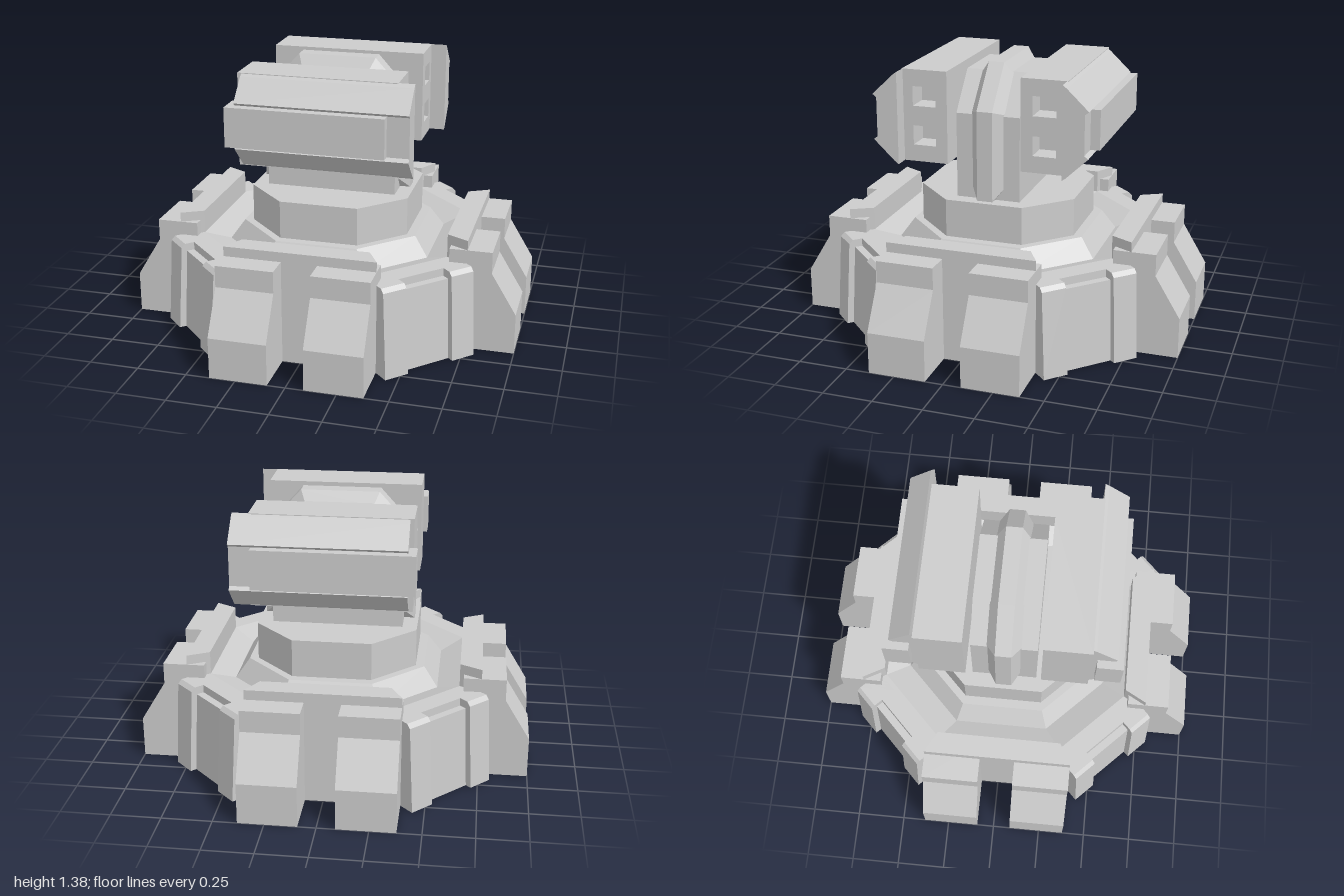
import * as THREE from 'three';

const material = new THREE.MeshStandardMaterial({ color: 0xcccccc, flatShading: true });

function add(parent, geometry, name) {
  const mesh = new THREE.Mesh(geometry, material);
  mesh.name = name;
  parent.add(mesh);
  return mesh;
}

const shapeOf = (points) => new THREE.Shape(points.map(([x, y]) => new THREE.Vector2(x, y)));

// Profile in (z, y), swept along x from x0 to x1; holes are profiles too
function prism(points, x0, x1, holes = []) {
  const shape = shapeOf(points);
  holes.forEach((h) => shape.holes.push(new THREE.Path(h.map(([x, y]) => new THREE.Vector2(x, y)))));
  return new THREE.ExtrudeGeometry(shape, { depth: x1 - x0, bevelEnabled: false })
    .rotateY(-Math.PI / 2).translate(x1, 0, 0);
}

const rect = (z0, z1, y0, y1) => [[z0, y0], [z1, y0], [z1, y1], [z0, y1]];

// Stack of octagons: [apothem, half length of the straight side, y]
function octagonLoft(levels) {
  const rings = levels.map(([a, h, y]) =>
    [[a, h], [a, -h], [h, -a], [-h, -a], [-a, -h], [-a, h], [-h, a], [h, a]].map(([x, z]) => [x, y, z]));
  const pos = [];
  for (let k = 0; k < rings.length - 1; k++) {
    for (let i = 0; i < 8; i++) {
      const j = (i + 1) % 8, lo = rings[k], hi = rings[k + 1];
      pos.push(...lo[i], ...lo[j], ...hi[j], ...lo[i], ...hi[j], ...hi[i]);
    }
  }
  const g = new THREE.BufferGeometry();
  g.setAttribute('position', new THREE.Float32BufferAttribute(pos, 3));
  g.computeVertexNormals();
  return g;
}

// Four buttressed sides and four armoured corners
function createBase() {
  const base = new THREE.Group();
  base.name = 'base';
  add(base, octagonLoft([
    [0, 0, 0], [0.75, 0.37, 0], [0.75, 0.36, 0.46], [0.64, 0.32, 0.46],
    [0.525, 0.24, 0.41], [0.455, 0.21, 0.51], [0.38, 0.18, 0.51], [0, 0, 0.51],
  ]), 'baseBody');

  const legProfile = [[0.66, 0], [1, 0], [1, 0.21], [0.873, 0.42], [0.873, 0.53], [0.66, 0.53]];
  const pillarProfile = [[0.7, 0], [0.884, 0], [0.855, 0.44], [0.835, 0.46], [0.7, 0.46]];
  const panelProfile = [[0.7, 0], [0.85, 0], [0.825, 0.42], [0.7, 0.42]];

  for (let i = 0; i < 4; i++) {
    const side = new THREE.Group();
    side.name = 'baseSide';
    side.rotation.y = i * Math.PI / 2;
    base.add(side);
    add(side, prism(legProfile, 0.09, 0.38), 'leftLeg');
    add(side, prism(legProfile, -0.38, -0.09), 'rightLeg');
    // Raised rail with mitred ends
    const rail = new THREE.ExtrudeGeometry(
      shapeOf([[-0.32, -0.64], [-0.38, -0.75], [0.38, -0.75], [0.32, -0.64]]),
      { depth: 0.16, bevelEnabled: false });
    add(side, rail.rotateX(-Math.PI / 2).translate(0, 0.42, 0), 'rail');

    const corner = new THREE.Group();
    corner.name = 'baseCorner';
    corner.rotation.y = (i + 0.5) * Math.PI / 2;
    base.add(corner);
    add(corner, prism(pillarProfile, 0.13, 0.26), 'leftPillar');
    add(corner, prism(pillarProfile, -0.26, -0.13), 'rightPillar');
    add(corner, prism(panelProfile, -0.14, 0.14), 'cornerPanel');
  }
  return base;
}

// Upright mount: a bevelled fin between two cheek plates
function createMount() {
  const mount = new THREE.Group();
  mount.name = 'mount';
  add(mount, octagonLoft([[0, 0, 0.5], [0.41, 0.2, 0.5], [0.41, 0.2, 0.705], [0, 0, 0.705]]), 'turntable');

  const cheeks = shapeOf([[-0.335, 0.69], [0.335, 0.69], [0.335, 1.14], [0.17, 1.33], [-0.17, 1.33], [-0.335, 1.14]]);
  add(mount, new THREE.ExtrudeGeometry(cheeks, { depth: 0.33, bevelEnabled: false })
    .translate(0, 0, -0.165), 'cheekPlates');

  const fin = shapeOf([[-0.39, 0.71], [0.39, 0.71], [0.39, 1.17], [0.2, 1.38], [-0.2, 1.38], [-0.39, 1.17]]);
  add(mount, new THREE.ExtrudeGeometry(fin, {
    depth: 0.08, bevelThickness: 0.045, bevelSize: 0.06, bevelOffset: -0.06, bevelSegments: 1,
  }).translate(0, 0, -0.04), 'fin');
  return mount;
}

// Pod profiles are measured from the pod's mid height
function createPod(name) {
  const pod = new THREE.Group();
  pod.name = name;
  pod.position.y = 1.125;
  const outline = rect(0.19, 0.425, -0.235, 0.235);
  add(pod, prism(outline, -0.4, 0.28), 'podBody');
  // Open end with two square ports
  add(pod, prism(outline, 0.28, 0.4,
    [rect(0.25, 0.37, 0.05, 0.15), rect(0.25, 0.37, -0.15, -0.05)]), 'portFrame');
  // Sloped outer armour with lips above and below a recess
  add(pod, prism([
    [0.42, -0.235], [0.44, -0.22], [0.55, -0.115], [0.53, -0.1], [0.53, 0.1],
    [0.55, 0.115], [0.44, 0.22], [0.42, 0.235],
  ], -0.38, 0.48), 'outerArmour');
  add(pod, prism(rect(0.45, 0.578, -0.1, 0.1), -0.42, 0.37), 'sidePlate');
  return pod;
}

export function createModel() {
  const model = new THREE.Group();
  model.name = 'turret';
  model.add(createBase(), createMount());
  const frontPod = createPod('frontPod');
  const backPod = createPod('backPod');
  backPod.rotation.x = Math.PI;
  model.add(frontPod, backPod);
  return model;
}
